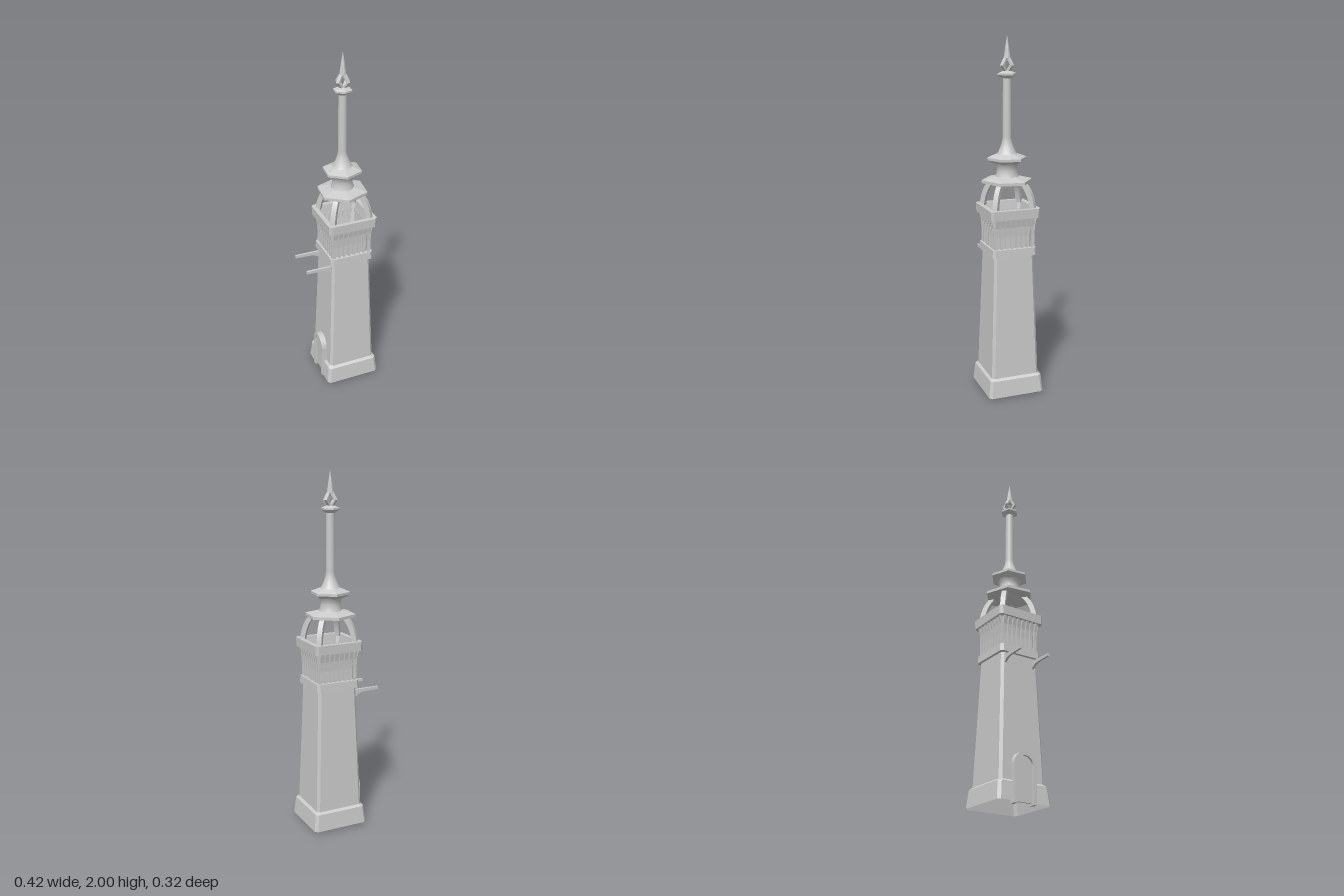
import * as THREE from 'three';

const GREY = 0xcccccc;
const flat = new THREE.MeshStandardMaterial({ color: GREY, flatShading: true, side: THREE.DoubleSide });
const smooth = new THREE.MeshStandardMaterial({ color: GREY, side: THREE.DoubleSide });

const TOWER_X = 0.047; // axis of the square tower
const SPIRE_X = 0.037; // axis of the hexagonal spire

function add(parent, name, geometry, material = flat) {
  const mesh = new THREE.Mesh(geometry, material);
  mesh.name = name;
  parent.add(mesh);
  return mesh;
}

// Square outline with cut corners; gap leaves a doorway in the -x side
function outline(h, y, cut, gap) {
  const k = h - cut;
  return [[-h, gap], [-h, k], [-k, h], [k, h], [h, k], [h, -k], [k, -h], [-k, -h], [-h, -k], [-h, -gap]]
    .map(([x, z]) => [x, y, z]);
}

// Skin through square outlines given as [half width, height]
function squareLoft(profile, cut = 0.014, gap = 0) {
  const rings = profile.map(([h, y]) => outline(h, y, cut, gap));
  const pos = [];
  for (let i = 0; i < rings.length - 1; i++) {
    for (let j = 0; j < rings[i].length - 1; j++) {
      const a = rings[i][j], b = rings[i][j + 1], c = rings[i + 1][j + 1], d = rings[i + 1][j];
      pos.push(...a, ...b, ...c, ...a, ...c, ...d);
    }
  }
  const geo = new THREE.BufferGeometry();
  geo.setAttribute('position', new THREE.Float32BufferAttribute(pos, 3));
  geo.computeVertexNormals();
  return geo;
}

function lathe(profile, sides) {
  const start = THREE.MathUtils.degToRad(52.7);
  return new THREE.LatheGeometry(profile.map(p => new THREE.Vector2(...p)), sides, start);
}

// Flat shape extruded to a width centred on its own plane
function slab(shape, width) {
  const geo = new THREE.ExtrudeGeometry(shape, { depth: width, bevelEnabled: false, curveSegments: 10 });
  return geo.translate(0, 0, -width / 2);
}

function polygon(points) {
  return new THREE.Shape(points.map(p => new THREE.Vector2(...p)));
}

function archShape(half, spring) {
  const s = new THREE.Shape();
  s.moveTo(-half, 0);
  s.lineTo(half, 0);
  s.lineTo(half, spring);
  s.absarc(0, spring, half, 0, Math.PI, false);
  s.lineTo(-half, 0);
  return s;
}

function buildTower() {
  const tower = new THREE.Group();
  tower.name = 'tower';
  tower.position.x = TOWER_X;

  add(tower, 'base', squareLoft([[0.162, 0.01], [0.152, 0.107], [0.138, 0.118]], 0.015, 0.05));
  add(tower, 'shaft', squareLoft([[0.138, 0.118], [0.114, 0.816]]));
  add(tower, 'lowerCollar', squareLoft([[0.112, 0.816], [0.128, 0.818], [0.126, 0.862], [0.1, 0.864]]));
  add(tower, 'neckWall', squareLoft([[0.105, 0.862], [0.105, 0.93], [0.109, 0.98], [0.12, 1.032]]));
  add(tower, 'parapet', squareLoft([[0.115, 1.03], [0.141, 1.03], [0.143, 1.082], [0.119, 1.082], [0.1, 0.94]]));
  const floor = add(tower, 'belfryFloor', new THREE.BoxGeometry(0.2, 0.006, 0.2));
  floor.position.y = 0.94;

  // Curved slats around the neck, eight to a side
  const slat = slab(polygon([[0.1, 0.86], [0.117, 0.86], [0.117, 0.93], [0.121, 0.985], [0.132, 1.032], [0.108, 1.032]]), 0.014);
  for (let side = 0; side < 4; side++) {
    const row = new THREE.Group();
    row.name = 'slatRow';
    row.rotation.y = side * Math.PI / 2;
    for (let i = 0; i < 8; i++) add(row, 'slat', slat).position.z = (i - 3.5) * 0.0295;
    tower.add(row);
  }

  // Arched legs at the corners carrying the spire
  const leg = new THREE.Shape();
  leg.moveTo(0.167, 1.07);
  leg.quadraticCurveTo(0.155, 1.175, 0.105, 1.216);
  leg.lineTo(0.074, 1.216);
  leg.quadraticCurveTo(0.128, 1.165, 0.139, 1.07);
  const legGeo = slab(leg, 0.028);
  for (let i = 0; i < 4; i++) add(tower, 'archedLeg', legGeo, flat).rotation.y = Math.PI / 4 + i * Math.PI / 2;
  return tower;
}

function buildDoor() {
  const door = new THREE.Group();
  door.name = 'door';
  const frame = archShape(0.068, 0.2);
  const hole = archShape(0.048, 0.2);
  // The frame is open at the foot
  const ring = new THREE.Shape();
  ring.moveTo(0.048, 0);
  ring.lineTo(0.068, 0);
  ring.lineTo(0.068, 0.2);
  ring.absarc(0, 0.2, 0.068, 0, Math.PI, false);
  ring.lineTo(-0.068, 0);
  ring.lineTo(-0.048, 0);
  ring.lineTo(-0.048, 0.2);
  ring.absarc(0, 0.2, 0.048, Math.PI, 0, true);
  add(door, 'doorFrame', slab(ring, 0.036)).position.z = 0.018;
  const panel = add(door, 'doorPanel', slab(hole, 0.012));
  panel.position.set(0, 0.01, 0.016);
  panel.scale.y = 0.98;
  door.rotation.y = -Math.PI / 2;
  door.position.set(-0.083, 0, -0.002);
  return door;
}

function buildArms() {
  const arms = new THREE.Group();
  arms.name = 'sideArms';
  const s = new THREE.Shape();
  s.moveTo(-0.06, 0.8);
  s.lineTo(-0.213, 0.8);
  s.lineTo(-0.213, 0.785);
  s.lineTo(-0.13, 0.782);
  s.quadraticCurveTo(-0.085, 0.78, -0.066, 0.752);
  const geo = slab(s, 0.013);
  for (const z of [-0.094, 0.086]) add(arms, 'arm', geo).position.z = z;
  return arms;
}

function buildSpire() {
  const spire = new THREE.Group();
  spire.name = 'spire';
  spire.position.x = SPIRE_X;

  // Hexagonal plates
  add(spire, 'lowerRoof', lathe([[0, 1.2], [0.045, 1.2], [0.07, 1.209], [0.142, 1.211], [0.142, 1.227], [0.06, 1.247], [0, 1.247]], 6));
  add(spire, 'upperRoof', lathe([[0, 1.315], [0.07, 1.315], [0.11, 1.336], [0.11, 1.35], [0.05, 1.373], [0, 1.373]], 6));
  add(spire, 'topPlate', lathe([[0, 1.775], [0.025, 1.775], [0.051, 1.792], [0.051, 1.801], [0.018, 1.815], [0, 1.815]], 6));

  // Rounded neck and mast
  add(spire, 'roofNeck', lathe([[0.066, 1.24], [0.058, 1.262], [0.056, 1.285], [0.06, 1.305], [0.072, 1.323]], 16), smooth);
  add(spire, 'mast', lathe([[0.06, 1.362], [0.047, 1.382], [0.036, 1.408], [0.027, 1.435], [0.0245, 1.46], [0.0225, 1.78]], 16), smooth);

  // Four bent blades under the pointed finial
  const blade = slab(polygon([[0.008, 1.808], [0.016, 1.808], [0.043, 1.843], [0.016, 1.884], [0.008, 1.884], [0.008, 1.876], [0.03, 1.843], [0.008, 1.818]]), 0.018);
  for (let i = 0; i < 4; i++) add(spire, 'finialBlade', blade).rotation.y = 0.47 + i * Math.PI / 2;
  add(spire, 'finial', lathe([[0, 1.862], [0.012, 1.865], [0.019, 1.88], [0.012, 1.93], [0, 2]], 8));
  return spire;
}

export function createModel() {
  const model = new THREE.Group();
  model.name = 'clockTower';
  model.add(buildTower(), buildDoor(), buildArms(), buildSpire());
  return model;
}
